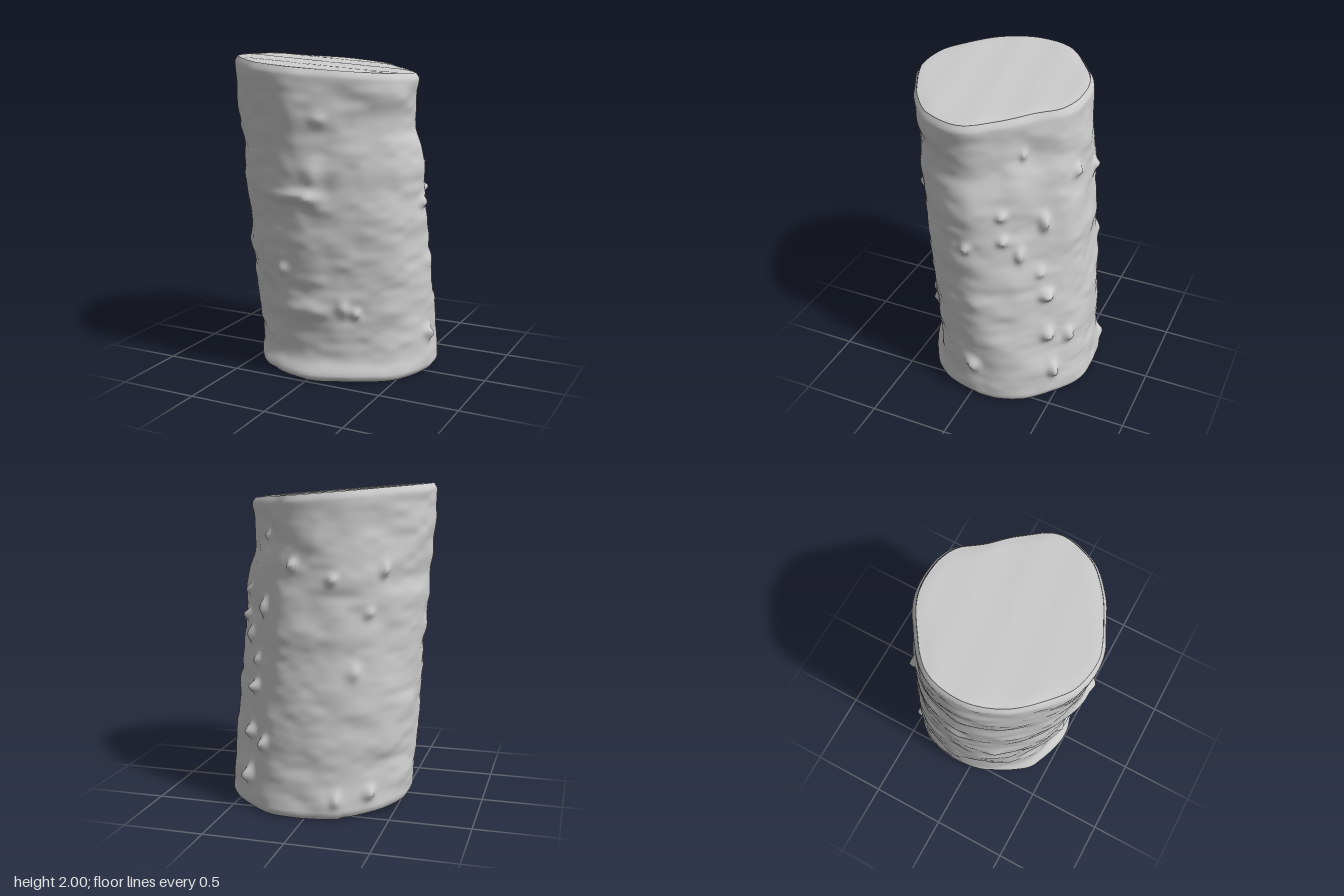
import * as THREE from 'three';

const SEG = 200, ROWS = 120;
const { lerp, smoothstep } = THREE.MathUtils;

// Closed outline from radii at equal angles (from +x towards +z)
function outline(cx, cz, radii) {
  return new THREE.CatmullRomCurve3(radii.map((r, i) => {
    const a = (i / radii.length) * Math.PI * 2;
    return new THREE.Vector3(cx + r * Math.cos(a), 0, cz + r * Math.sin(a));
  }), true);
}
const topCurve = outline(-0.05, 0.07,
  [0.6, 0.59, 0.545, 0.53, 0.56, 0.58, 0.57, 0.59, 0.61, 0.6, 0.56, 0.55, 0.55, 0.54, 0.485, 0.52]);
const baseCurve = outline(0.03, -0.1,
  [0.59, 0.58, 0.55, 0.53, 0.53, 0.54, 0.56, 0.58, 0.59, 0.59, 0.56, 0.54, 0.53, 0.54, 0.55, 0.58]);
const sample = (curve) => Array.from({ length: SEG }, (_, i) => curve.getPoint(i / SEG));
const topRing = sample(topCurve), baseRing = sample(baseCurve);

// Smooth seeded noise that wraps around the trunk
function hash(i, j, seed) {
  const s = Math.sin(i * 127.1 + j * 311.7 + seed * 74.7) * 43758.5453;
  return (s - Math.floor(s)) * 2 - 1;
}
function noise(u, v, nu, nv, seed) {
  const x = u * nu, y = v * nv, i = Math.floor(x), j = Math.floor(y);
  const fx = smoothstep(x - i, 0, 1), fy = smoothstep(y - j, 0, 1);
  const h = (a, b) => hash((i + a) % nu, j + b, seed);
  return lerp(lerp(h(0, 0), h(1, 0), fx), lerp(h(0, 1), h(1, 1), fx), fy);
}

// Knots: angle in degrees, height, how far it sticks out, half width, half height
const knots = [
  [-20, 1.33, 0.04, 0.03, 0.03], [-48, 1.25, 0.05, 0.03, 0.05], [-20, 1.17, 0.04, 0.03, 0.03],
  [3, 1.11, 0.04, 0.03, 0.03], [-30, 1.06, 0.04, 0.03, 0.05], [-43, 0.92, 0.03, 0.03, 0.03],
  [-46, 0.76, 0.06, 0.04, 0.035], [-45, 0.48, 0.06, 0.04, 0.04], [-60, 0.43, 0.05, 0.03, 0.04],
  [-47, 0.21, 0.06, 0.03, 0.05], [-38, 1.68, 0.03, 0.02, 0.025], [-75, 1.53, 0.04, 0.03, 0.03],
  [5, 0.25, 0.04, 0.03, 0.04], [0, 0.74, 0.02, 0.08, 0.04], [8, 0.28, 0.02, 0.04, 0.03],
  [82, 1.17, 0.045, 0.05, 0.05], [95, 1.18, 0.035, 0.16, 0.04], [78, 1.28, 0.02, 0.05, 0.1],
  [106, 0.71, 0.03, 0.035, 0.04], [58, 0.45, 0.035, 0.03, 0.03], [66, 0.48, 0.03, 0.04, 0.05],
  [95, 0.46, 0.03, 0.2, 0.06], [155, 0.8, 0.02, 0.05, 0.06], [72, 1.64, 0.02, 0.05, 0.04],
  [225, 1.5, 0.035, 0.025, 0.04], [258, 1.45, 0.035, 0.03, 0.03], [225, 0.16, 0.04, 0.035, 0.04],
  [247, 0.13, 0.03, 0.03, 0.04], [240, 0.9, 0.025, 0.04, 0.05], [233, 1.25, 0.03, 0.03, 0.03],
];

function relief(u, y) {
  let d = 0.012 * noise(u, y, 11, 4, 1) + 0.01 * noise(u, y, 20, 9, 2) + 0.004 * noise(u, y, 40, 20, 3);
  for (const [deg, ky, out, w, h] of knots) {
    let du = u - deg / 360;
    du -= Math.round(du);
    const q = ((du * 3.6) / w) ** 2 + ((y - ky) / h) ** 2;
    if (q < 9) d += out * Math.exp(-q);
  }
  // Narrowing below the cut on one side, and a flared foot at the front
  const a = u * Math.PI * 2;
  d -= 0.03 * Math.max(0, Math.cos(a)) * Math.exp(-(((y - 1.62) / 0.15) ** 2));
  d += 0.06 * Math.max(0, Math.sin(a)) * Math.exp(-(((y - 0.04) / 0.07) ** 2));
  return d;
}

const cutY = (x) => 2 - 0.083 * (x + 0.66);
const footY = (x) => 0.005 + 0.012 * smoothstep(-x, 0.2, 0.24) + 0.035 * smoothstep(-x, 0.24, 0.56);

// Point on the bark, t from 0 (foot) to 1 (cut)
function barkPoint(i, t) {
  const u = i / SEG, p = baseRing[i].clone().lerp(topRing[i], t);
  const cx = lerp(0.03, -0.05, t), cz = lerp(-0.1, 0.07, t);
  p.y = lerp(footY(p.x), cutY(p.x), t);
  const dir = new THREE.Vector3(p.x - cx, 0, p.z - cz).normalize();
  // Worn, rounded rims
  const rim = 0.022 * smoothstep(t, 0.975, 1) ** 2 + 0.02 * (1 - smoothstep(t, 0, 0.015));
  return p.addScaledVector(dir, relief(u, p.y) * (1 - 0.6 * smoothstep(t, 0.93, 1)) - rim);
}

// Closed rings joined into a smooth surface
function loft(name, rows, pointAt, material) {
  const pos = [], index = [];
  for (let j = 0; j <= rows; j++) {
    for (let i = 0; i < SEG; i++) {
      pos.push(...pointAt(i, j / rows).toArray());
      if (j === rows) continue;
      const k = (i + 1) % SEG, a = j * SEG + i, b = j * SEG + k;
      index.push(a, a + SEG, b, b, a + SEG, b + SEG);
    }
  }
  const geo = new THREE.BufferGeometry();
  geo.setAttribute('position', new THREE.Float32BufferAttribute(pos, 3));
  geo.setIndex(index);
  geo.computeVertexNormals();
  const mesh = new THREE.Mesh(geo, material);
  mesh.name = name;
  return mesh;
}

export function createModel() {
  const group = new THREE.Group();
  group.name = 'log';
  const material = new THREE.MeshStandardMaterial({ color: 0xcccccc });

  group.add(loft('bark', ROWS, barkPoint, material));

  // Slanted sawn face with a soft edge and faint saw marks
  group.add(loft('cutFace', 12, (i, s) => {
    const f = 1 - s ** 1.5, p = barkPoint(i, 1);
    p.x = lerp(-0.05, p.x, f);
    p.z = lerp(0.07, p.z, f);
    p.y = cutY(p.x) + (f < 1 ? 0.002 * Math.sin(p.z * 22 + p.x * 3) : 0) - 0.006 * smoothstep(f, 0.9, 1);
    return p;
  }, material));

  // Underside, slightly hollow
  group.add(loft('underside', 12, (i, s) => {
    const p = barkPoint(i, 0);
    p.x = lerp(0.03, p.x, s);
    p.z = lerp(-0.1, p.z, s);
    p.y = lerp(0.03, p.y, s * s);
    return p;
  }, material));

  return group;
}
